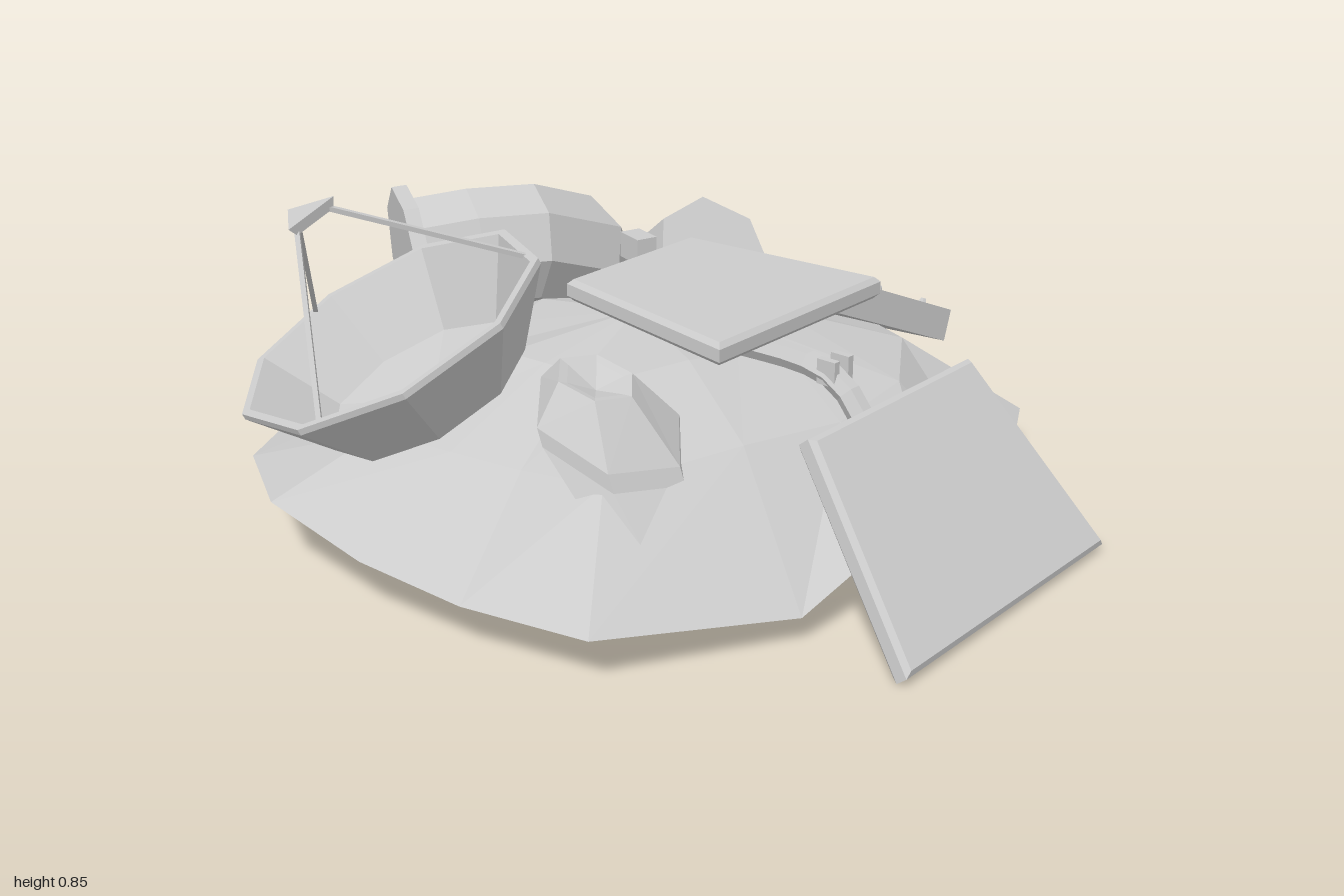
import * as THREE from 'three';

const V = (x, y, z) => new THREE.Vector3(x, y, z);
const mat = new THREE.MeshStandardMaterial({ color: 0xcccccc, flatShading: true });
const thinMat = new THREE.MeshStandardMaterial({ color: 0xcccccc, flatShading: true, side: THREE.DoubleSide });

function add(parent, name, geo, pos = V(0, 0, 0), material = mat) {
  const m = new THREE.Mesh(geo, material);
  m.name = name;
  m.position.copy(pos);
  parent.add(m);
  return m;
}

// Faceted skin over equal-length rings, listed from bottom to top
function loft(rings) {
  const pos = [], idx = [], n = rings[0].length;
  rings.forEach(r => r.forEach(p => pos.push(p.x, p.y, p.z)));
  for (let i = 0; i < rings.length - 1; i++) {
    for (let j = 0; j < n; j++) {
      const a = i * n + j, b = i * n + (j + 1) % n;
      idx.push(a, b, b + n, a, b + n, a + n);
    }
  }
  const g = new THREE.BufferGeometry();
  g.setAttribute('position', new THREE.Float32BufferAttribute(pos, 3));
  g.setIndex(idx);
  const flat = g.toNonIndexed();
  flat.computeVertexNormals();
  return flat;
}

// Cylinder running between two points
function rod(parent, name, a, b, r, sides) {
  const m = add(parent, name, new THREE.CylinderGeometry(r, r, a.distanceTo(b), sides),
    a.clone().lerp(b, 0.5));
  m.quaternion.setFromUnitVectors(V(0, 1, 0), b.clone().sub(a).normalize());
}

// Bevelled plate, wide at the bottom edge, origin at the middle of that edge
function trapezoidPlate(wide, narrow, len) {
  const b = 0.012, s = new THREE.Shape();
  s.moveTo(-wide / 2 + b, b);
  s.lineTo(wide / 2 - b, b);
  s.lineTo(narrow / 2 - b, len - b);
  s.lineTo(-narrow / 2 + b, len - b);
  s.closePath();
  return new THREE.ExtrudeGeometry(s, { depth: 0.03, bevelSize: b, bevelThickness: b, bevelSegments: 1 });
}

function makeMound() {
  const rim = [[0.01, 0.2, -0.99], [-0.4, 0.13, -0.86], [-0.75, 0.15, -0.65], [-0.92, 0.18, -0.36],
    [-0.93, 0.14, -0.05], [-0.9, 0.12, 0.23], [-0.83, 0.12, 0.53], [-0.4, 0.07, 0.74],
    [0, 0.2, 0.79], [0.4, 0.06, 0.74], [0.78, 0.12, 0.55], [0.88, 0.11, 0.27],
    [0.95, 0.13, -0.06], [0.87, 0.14, -0.38], [0.78, 0.13, -0.64], [0.4, 0.13, -0.85]];
  // Rim scaled inward, raised towards the front by lift
  const ring = (s, y, wobble, lift) => rim.map((p, i) => {
    const k = s * (1 + wobble * Math.sin(i * 2.4));
    return V(p[0] * k, y + wobble * 0.25 * Math.cos(i * 1.9) + lift * p[2], -0.08 + (p[2] + 0.08) * k);
  });
  return loft([ring(0, 0.03, 0, 0), ring(0.5, 0.032, 0, 0), ring(0.83, 0.045, 0.03, 0),
    rim.map(p => V(...p)), ring(0.7, 0.3, 0.04, 0.05), ring(0.36, 0.415, 0.04, 0.02), ring(0, 0.455, 0, 0)]);
}

function makeDish() {
  const g = new THREE.Group();
  g.name = 'dishAntenna';
  g.position.set(-0.61, 0.53, -0.29);
  g.rotation.set(-0.25, 0, 0.38);
  // Bowl: outer skin, thin lip, inner skin
  const profile = [[0, -0.24], [0.25, -0.19], [0.38, -0.01], [0.38, 0.005], [0.36, 0.005],
    [0.24, -0.165], [0, -0.21]].map(p => new THREE.Vector2(...p));
  add(g, 'dishBowl', new THREE.LatheGeometry(profile, 9), undefined, thinMat);
  // Tripod and receiver
  const top = V(-0.03, 0.325, -0.01);
  for (const a of [0.85, 2.95, 5.0]) {
    const c = Math.sin(a), s = Math.cos(a);
    rod(g, 'dishStrut', V(c * 0.36, -0.01, s * 0.36),
      top.clone().add(V(c * 0.045, 0, s * 0.045)), 0.008, 4);
  }
  const receiver = add(g, 'dishReceiver', new THREE.CylinderGeometry(0.075, 0.06, 0.025, 3), top);
  receiver.rotation.y = 0.85;
  return g;
}

function makeRivetedBox() {
  const g = new THREE.Group();
  g.name = 'rivetedPanel';
  g.position.set(0.542, 0.375, 0.048);
  g.rotation.set(-0.06, 0, -0.41);
  const L = 0.66, W = 0.44, b = 0.045;
  add(g, 'panelBody', new THREE.BoxGeometry(L, 0.07, W));
  // Raised border round a recessed cover
  for (const s of [-1, 1]) {
    add(g, 'panelBorder', new THREE.BoxGeometry(L, 0.015, b), V(0, 0.042, s * (W - b) / 2));
    add(g, 'panelBorder', new THREE.BoxGeometry(b, 0.015, W - 2 * b), V(s * (L - b) / 2, 0.042, 0));
    const rivets = [-0.22, 0, 0.22].map(x => [x, s * (W - b) / 2]);
    rivets.push([s * (L - b) / 2, 0.14], [s * (L - b) / 2, -0.17]);
    for (const [x, z] of rivets) {
      add(g, 'rivet', new THREE.CylinderGeometry(0.008, 0.011, 0.012, 6), V(x, 0.055, z));
    }
  }
  return g;
}

// Faceted bent pipe with a flange disc on each end
function makeBentPipe() {
  const g = new THREE.Group();
  g.name = 'bentPipe';
  const curve = new THREE.CatmullRomCurve3([V(-0.09, 0.45, -0.8), V(0.08, 0.465, -0.7),
    V(0.27, 0.44, -0.625), V(0.42, 0.34, -0.7), V(0.53, 0.225, -0.825)]);
  add(g, 'pipeBody', new THREE.TubeGeometry(curve, 5, 0.165, 8), undefined, thinMat);
  for (const t of [0, 1]) {
    const p = curve.getPointAt(t), d = curve.getTangentAt(t).multiplyScalar(0.02);
    rod(g, 'pipeFlange', p.clone().sub(d), p.clone().add(d), 0.195, 8);
  }
  return g;
}

// Hexagonal stub poking out of the mound: sloping base, collar and hollow cap
function makeStub() {
  const hex = (x, y, z, r, tilt) => Array.from({ length: 6 }, (_, i) => {
    const a = i * Math.PI / 3 + 0.2;
    return V(x + r * Math.sin(a), y - tilt * r * Math.cos(a), z + r * Math.cos(a));
  });
  return loft([hex(-0.5, 0.18, 0.39, 0.15, 0.3), hex(-0.5, 0.27, 0.38, 0.15, 0.4),
    hex(-0.475, 0.37, 0.28, 0.175, 0.4), hex(-0.475, 0.41, 0.265, 0.175, 0.4),
    hex(-0.49, 0.51, 0.24, 0.09, 0.3), hex(-0.49, 0.505, 0.24, 0.07, 0.3),
    hex(-0.49, 0.48, 0.24, 0, 0)]);
}

export function createModel() {
  const model = new THREE.Group();
  model.name = 'scrapMound';
  add(model, 'mound', makeMound());
  model.add(makeDish(), makeRivetedBox(), makeBentPipe());
  add(model, 'hexStub', makeStub());

  // Half-buried drum leaning back, with a small block beside it
  rod(model, 'tiltedDrum', V(0.6, 0.33, -0.4), V(0.575, 0.4, -0.31), 0.175, 7);
  const block = add(model, 'drumBlock', new THREE.BoxGeometry(0.06, 0.07, 0.09), V(0.43, 0.43, -0.46));
  block.rotation.y = -0.3;

  // Two loose trapezoid plates
  const upper = add(model, 'upperPlate', trapezoidPlate(0.6, 0.45, 0.53), V(0.01, 0.53, 0.42));
  upper.rotation.x = -Math.PI / 2 + 0.02;
  const lower = add(model, 'lowerPlate', trapezoidPlate(0.8, 0.62, 0.525), V(0.01, 0.0, 0.978));
  lower.rotation.x = -0.69;

  // Bracket arm joining the plates
  const arm = new THREE.CatmullRomCurve3([V(0, 0.45, 0.2), V(0, 0.45, 0.46), V(0, 0.42, 0.54), V(0, 0.31, 0.63)]);
  add(model, 'bracketArm', new THREE.TubeGeometry(arm, 8, 0.03, 6), undefined, thinMat);
  for (const s of [-1, 1]) {
    add(model, 'hingeLug', new THREE.BoxGeometry(0.018, 0.06, 0.05), V(0.01 + s * 0.026, 0.45, 0.51));
  }
  return model;
}
